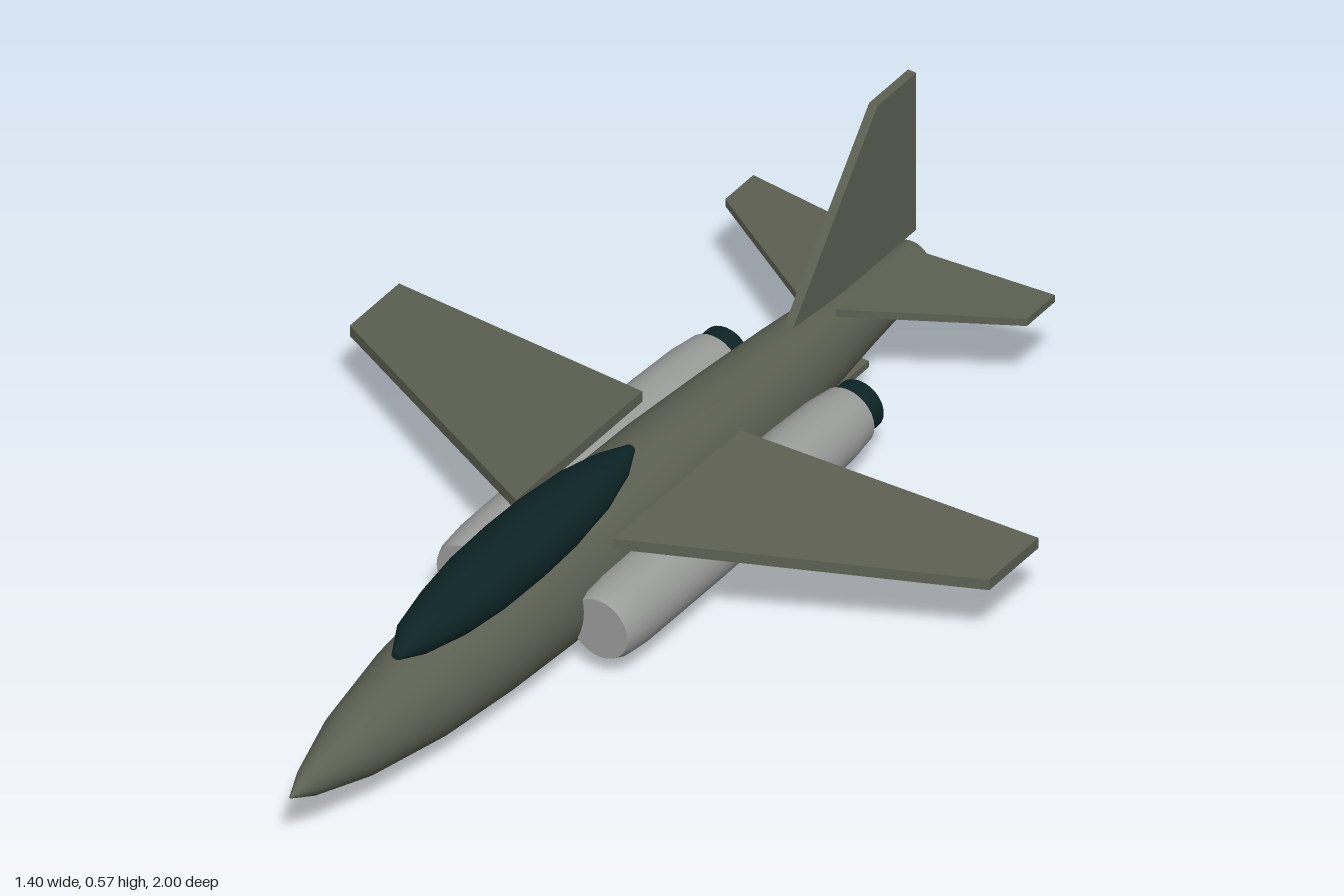
import * as THREE from 'three';

const mat = (name, color) => {
  const m = new THREE.MeshStandardMaterial({ color });
  m.name = name;
  return m;
};

// Capped elliptical loft; sections run from front to back as [z, centreY, halfWidth, halfHeight]
function loft(sections, sides) {
  const pos = [], index = [];
  const ring = ([z, cy, rx, ry]) => {
    const start = pos.length / 3;
    for (let j = 0; j < sides; j++) {
      const t = (j / sides) * Math.PI * 2;
      pos.push(rx * Math.cos(t), cy + ry * Math.sin(t), z);
    }
    return start;
  };
  const starts = sections.map(ring);
  for (let i = 0; i < starts.length - 1; i++) {
    for (let j = 0; j < sides; j++) {
      const k = (j + 1) % sides;
      const a = starts[i] + j, b = starts[i] + k;
      const c = starts[i + 1] + j, d = starts[i + 1] + k;
      index.push(a, c, b, b, c, d);
    }
  }
  // Separate rings keep the end caps crisp
  [sections[0], sections[sections.length - 1]].forEach((s, end) => {
    const r = ring(s), centre = pos.length / 3;
    pos.push(0, s[1], s[0]);
    for (let j = 0; j < sides; j++) {
      const k = (j + 1) % sides;
      if (end === 0) index.push(centre, r + j, r + k);
      else index.push(centre, r + k, r + j);
    }
  });
  const g = new THREE.BufferGeometry();
  g.setAttribute('position', new THREE.Float32BufferAttribute(pos, 3));
  g.setIndex(index);
  g.computeVertexNormals();
  return g;
}

// Extruded flat plate from a list of 2D corners
function plate(corners, depth) {
  const shape = new THREE.Shape(corners.map(([x, y]) => new THREE.Vector2(x, y)));
  return new THREE.ExtrudeGeometry(shape, { depth, bevelEnabled: false });
}

// Drooping wing panel: plan corners as [x, z], bottom height at root and tip
function wingPanel(plan, side, thickness, yRoot, yTip) {
  const g = plate(plan.map(([x, z]) => [side * x, -z]), thickness);
  g.rotateX(-Math.PI / 2);
  const xs = plan.map((p) => p[0]);
  const x0 = Math.min(...xs), x1 = Math.max(...xs);
  const p = g.attributes.position;
  for (let i = 0; i < p.count; i++) {
    const t = (Math.abs(p.getX(i)) - x0) / (x1 - x0);
    p.setY(i, p.getY(i) + yRoot + (yTip - yRoot) * t);
  }
  g.computeVertexNormals();
  return g;
}

export function createModel() {
  const model = new THREE.Group();
  model.name = 'jetAircraft';
  const olive = mat('olive paint', 0x5c6052);
  const grey = mat('engine grey', 0x9b9d9b);
  const dark = mat('dark glass', 0x0c2325);

  const add = (name, geometry, material, x = 0, y = 0, z = 0) => {
    const mesh = new THREE.Mesh(geometry, material);
    mesh.name = name;
    mesh.position.set(x, y, z);
    model.add(mesh);
  };

  // Fuselage
  add('fuselage', loft([
    [1, 0.14, 0.002, 0.002], [0.94, 0.14, 0.027, 0.03], [0.8, 0.139, 0.066, 0.068],
    [0.6, 0.137, 0.096, 0.099], [0.4, 0.135, 0.11, 0.115], [0.2, 0.135, 0.114, 0.129],
    [0, 0.136, 0.114, 0.134], [-0.2, 0.137, 0.108, 0.129], [-0.4, 0.138, 0.096, 0.115],
    [-0.6, 0.14, 0.081, 0.097], [-0.8, 0.141, 0.061, 0.076], [-1, 0.14, 0.046, 0.051],
  ], 32), olive);

  // Canopy
  add('canopy', loft([
    [0.66, 0.253, 0.01, 0.008], [0.6, 0.26, 0.04, 0.035], [0.5, 0.258, 0.06, 0.052],
    [0.4, 0.258, 0.071, 0.062], [0.28, 0.258, 0.074, 0.064], [0.18, 0.258, 0.071, 0.062],
    [0.06, 0.259, 0.06, 0.051], [-0.03, 0.262, 0.04, 0.031], [-0.095, 0.268, 0.01, 0.007],
  ], 20), dark);

  // Vertical tail fin
  const fin = plate([[0.59, 0.22], [1, 0.22], [1, 0.57], [0.875, 0.57]], 0.018);
  fin.rotateY(Math.PI / 2);
  add('tailFin', fin, olive, -0.009, 0, 0);

  // Small belly fairing ahead of the tail
  add('bellyFairing', new THREE.BoxGeometry(0.11, 0.014, 0.16), olive, 0, 0.07, -0.7);

  const wing = [[0.107, 0.117], [0.7, -0.22], [0.7, -0.378], [0.107, -0.29]];
  const stabilizer = [[0.042, -0.693], [0.33, -0.884], [0.33, -0.974], [0.042, -0.926]];
  const pod = loft([
    [0.222, 0, 0.062, 0.062], [0.205, 0, 0.069, 0.069], [0.15, 0, 0.074, 0.074],
    [-0.1, 0, 0.075, 0.075], [-0.4, 0, 0.072, 0.072], [-0.52, 0, 0.067, 0.067],
    [-0.575, 0, 0.06, 0.06],
  ], 28);
  const nozzle = new THREE.CylinderGeometry(0.051, 0.051, 0.06, 28).rotateX(Math.PI / 2);

  // Paired parts
  for (const [label, side] of [['left', 1], ['right', -1]]) {
    add(label + 'Wing', wingPanel(wing, side, 0.023, 0.212, 0.16), olive);
    add(label + 'Stabilizer', wingPanel(stabilizer, side, 0.016, 0.222, 0.204), olive);
    add(label + 'EnginePod', pod, grey, side * 0.147, 0.113, 0);
    add(label + 'EngineNozzle', nozzle, dark, side * 0.147, 0.115, -0.588);
  }
  return model;
}
